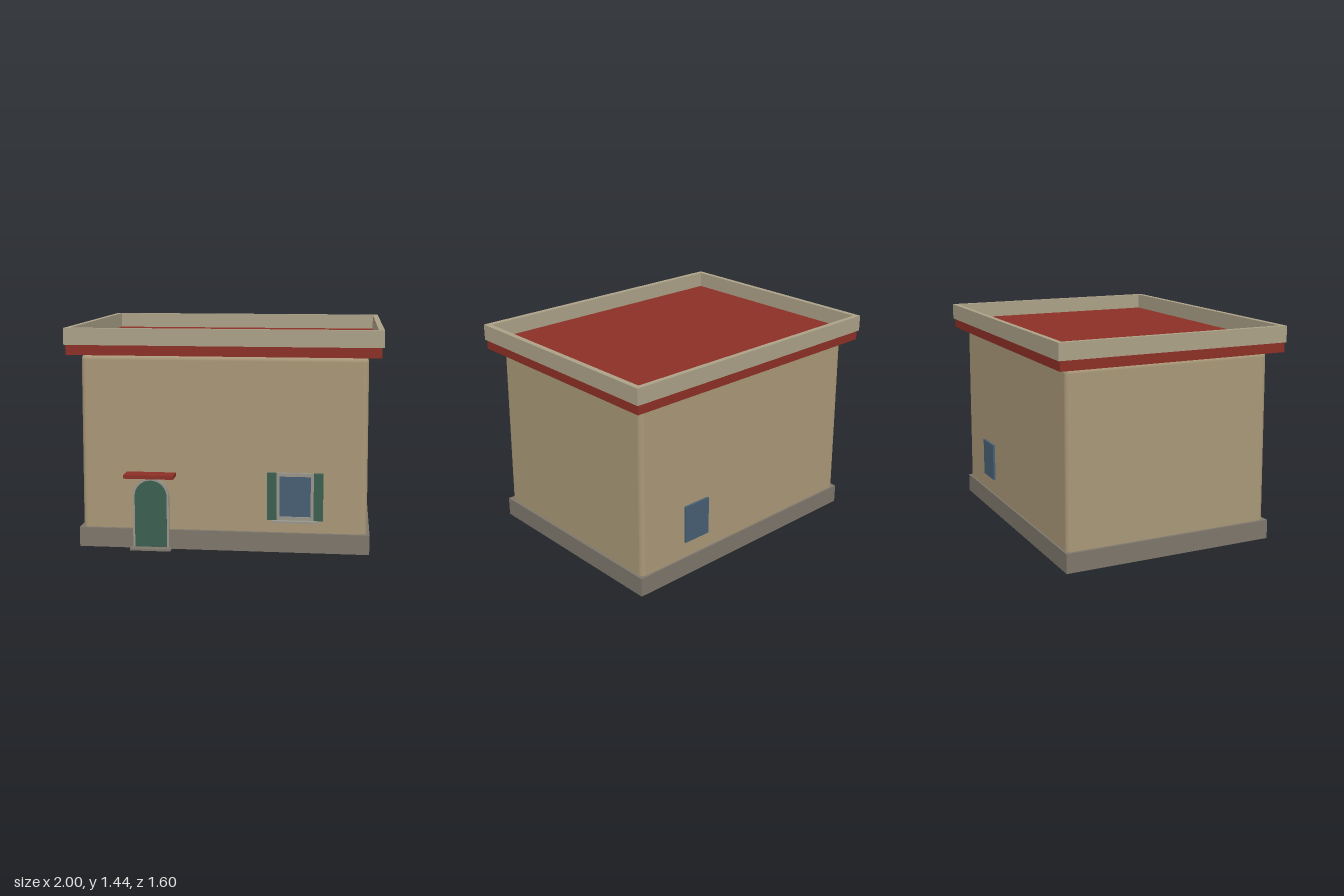
import * as THREE from 'three';
import { RoundedBoxGeometry } from 'three/addons/geometries/RoundedBoxGeometry.js';

const material = (color) => new THREE.MeshStandardMaterial({ color });
const wallMat = material(0xa99878);
const baseMat = material(0x7d766b);
const trimMat = material(0xaca188);
const roofMat = material(0x8c3026);
const greenMat = material(0x3c5f50);
const glassMat = material(0x475f73);
const frameMat = material(0x98958a);

function add(parent, name, geometry, mat) {
  const mesh = new THREE.Mesh(geometry, mat);
  mesh.name = name;
  parent.add(mesh);
  return mesh;
}

// Box given by its limits along each axis
function box(parent, name, mat, [x0, x1], [y0, y1], [z0, z1]) {
  const mesh = add(parent, name, new THREE.BoxGeometry(x1 - x0, y1 - y0, z1 - z0), mat);
  mesh.position.set((x0 + x1) / 2, (y0 + y1) / 2, (z0 + z1) / 2);
  return mesh;
}

function rectangle(target, x0, x1, y0, y1) {
  target.moveTo(x0, y0);
  target.lineTo(x1, y0);
  target.lineTo(x1, y1);
  target.lineTo(x0, y1);
  target.closePath();
  return target;
}

// Round-headed outline standing on y = bottom
function arch(target, radius, bottom, spring) {
  target.moveTo(-radius, bottom);
  target.lineTo(radius, bottom);
  target.lineTo(radius, spring);
  target.absarc(0, spring, radius, 0, Math.PI, false);
  target.closePath();
  return target;
}

const extrude = (shape, depth) =>
  new THREE.ExtrudeGeometry(shape, { depth, bevelEnabled: false, curveSegments: 16 });

export function createModel() {
  const house = new THREE.Group();
  house.name = 'house';

  // Walls: rounded block that narrows slightly upward
  const wallHeight = 1.21;
  const walls = new RoundedBoxGeometry(1.84, wallHeight, 1.416, 4, 0.035);
  const p = walls.attributes.position;
  for (let i = 0; i < p.count; i++) {
    const s = 1 - 0.01 * (p.getY(i) / wallHeight + 0.5);
    p.setX(i, p.getX(i) * s);
    p.setZ(i, p.getZ(i) * s);
  }
  add(house, 'walls', walls, wallMat).position.set(-0.002, 0.06 + wallHeight / 2, -0.018);

  // Plinth
  box(house, 'plinth', baseMat, [-0.94, 0.935], [0.013, 0.14], [-0.738, 0.711]);

  // Roof slab and the parapet around it
  box(house, 'roofSlab', roofMat, [-0.99, 0.986], [1.27, 1.336], [-0.788, 0.757]);
  const ring = rectangle(new THREE.Shape(), -1, 0.998, -0.764, 0.8);
  ring.holes.push(rectangle(new THREE.Path(), -0.965, 0.962, -0.726, 0.767));
  const parapet = add(house, 'parapet', extrude(ring, 0.106), trimMat);
  parapet.rotation.x = -Math.PI / 2;
  parapet.position.y = 1.334;

  // Arched door with frame, step and canopy
  const door = new THREE.Group();
  door.name = 'door';
  door.position.x = -0.468;
  house.add(door);
  const surround = arch(new THREE.Shape(), 0.118, 0, 0.358);
  surround.holes.push(arch(new THREE.Path(), 0.103, 0.012, 0.358));
  add(door, 'doorFrame', extrude(surround, 0.03), frameMat).position.z = 0.682;
  add(door, 'doorLeaf', extrude(arch(new THREE.Shape(), 0.104, 0.012, 0.358), 0.036), greenMat)
    .position.z = 0.678;
  box(door, 'doorStep', baseMat, [-0.13, 0.135], [0.01, 0.023], [0.68, 0.766]);
  box(door, 'doorCanopy', roofMat, [-0.158, 0.162], [0.491, 0.514], [0.67, 0.8]);

  // Front window with shutters and sill
  const win = new THREE.Group();
  win.name = 'frontWindow';
  win.position.x = 0.461;
  house.add(win);
  const sash = rectangle(new THREE.Shape(), -0.118, 0.118, 0.225, 0.53);
  sash.holes.push(rectangle(new THREE.Path(), -0.099, 0.099, 0.246, 0.508));
  add(win, 'windowFrame', extrude(sash, 0.026), frameMat).position.z = 0.68;
  box(win, 'windowGlass', glassMat, [-0.1, 0.1], [0.245, 0.509], [0.67, 0.697]);
  box(win, 'windowSill', frameMat, [-0.15, 0.15], [0.212, 0.224], [0.67, 0.737]);
  for (const side of [-1, 1]) {
    const shutter = box(win, 'shutter', greenMat, [-0.03, 0.03], [0.225, 0.53], [0.675, 0.711]);
    shutter.position.x = side * 0.148;
  }

  // Plain back window
  box(house, 'backWindow', glassMat, [0.361, 0.561], [0.25, 0.505], [-0.739, -0.7]);

  return house;
}
